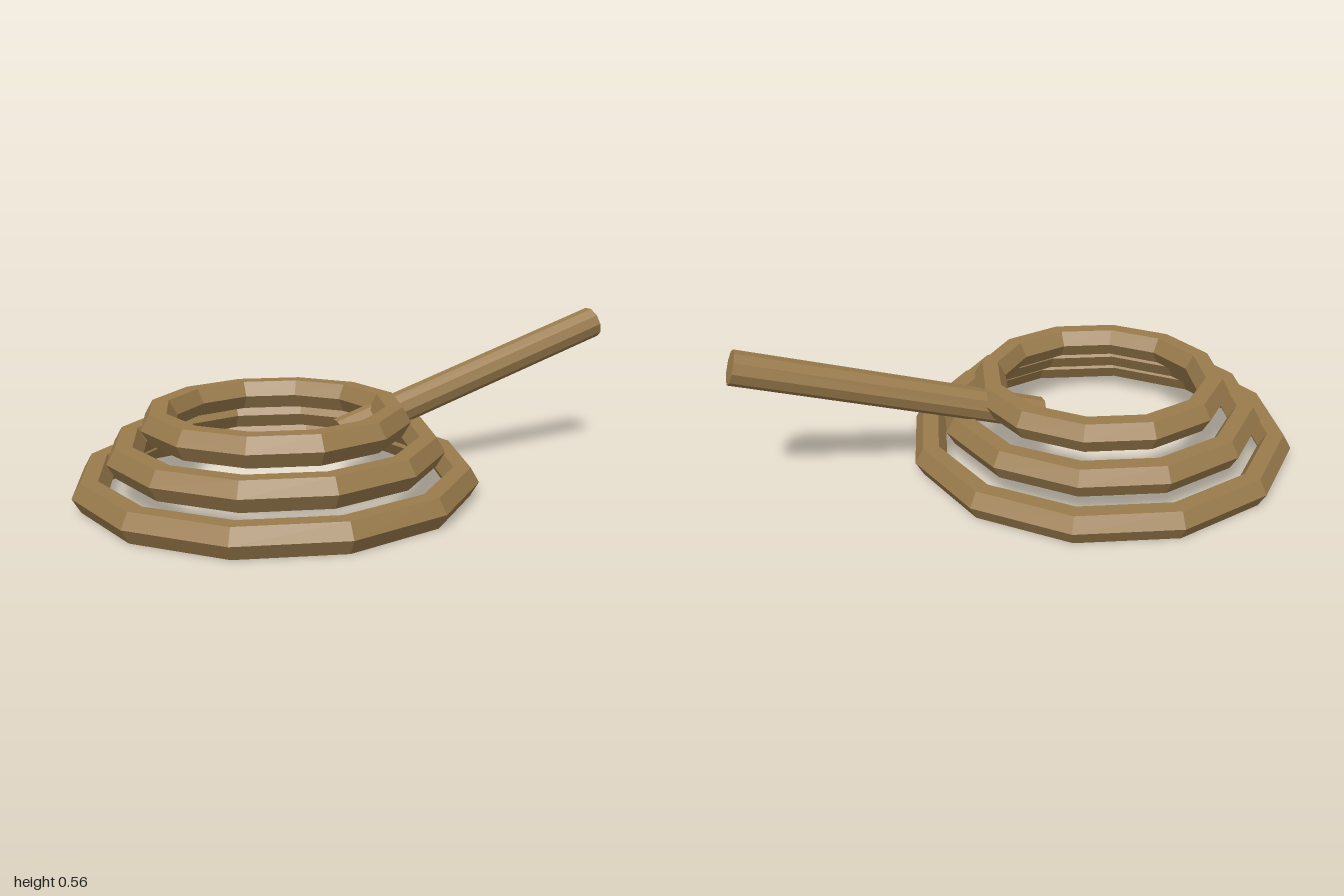
import * as THREE from 'three';

export function createModel() {
  const model = new THREE.Group();
  const wood = new THREE.MeshStandardMaterial({ color: 0x9a7b4c });
  wood.name = 'wood brown';
  wood.flatShading = true;

  const thickness = 0.0583;
  const add = (name, geometry) => {
    const mesh = new THREE.Mesh(geometry, wood);
    mesh.name = name;
    model.add(mesh);
    return mesh;
  };

  // Three stacked hexagonal-section rings, shrinking upwards
  ['lowerRing', 'middleRing', 'upperRing'].forEach((name, i) => {
    const ring = add(name, new THREE.TorusGeometry(0.6417 - i * 0.1167, thickness, 6, 12));
    ring.rotation.x = Math.PI / 2;
    ring.position.set(-0.3, 0.0505 + i * 0.102, 0);
  });

  // Ten-sided handle rising towards +x
  const tilt = THREE.MathUtils.degToRad(18);
  const handle = add('handle', new THREE.CylinderGeometry(thickness, thickness, 1.1, 10));
  handle.rotation.z = tilt - Math.PI / 2;
  handle.position.set(0.46, 0.34, 0);

  return model;
}
